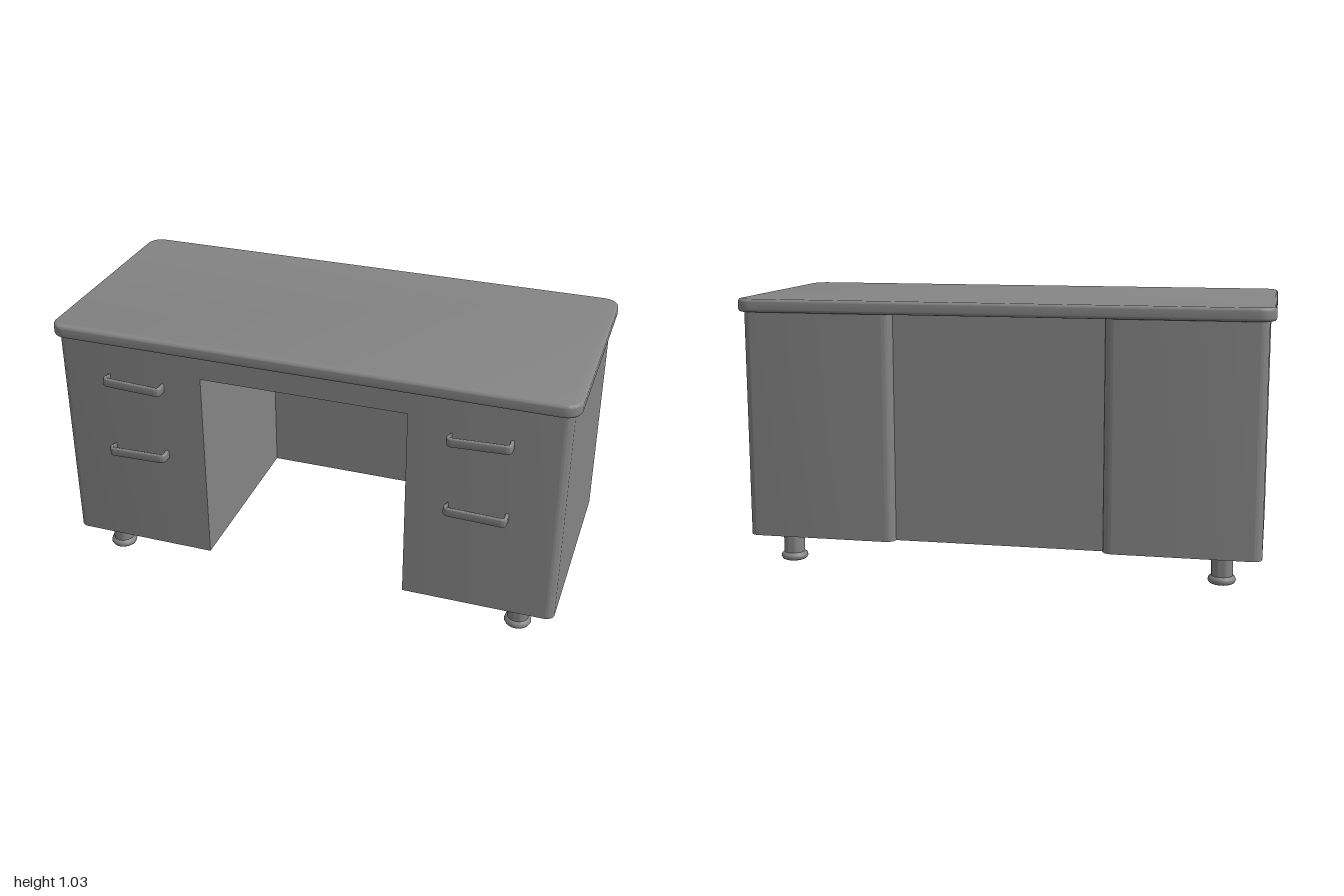
import * as THREE from 'three';
import { toCreasedNormals } from 'three/addons/utils/BufferGeometryUtils.js';

const material = new THREE.MeshStandardMaterial({ color: 0x858585 });

function add(parent, name, geometry, x = 0, y = 0, z = 0) {
  const mesh = new THREE.Mesh(geometry, material);
  mesh.name = name;
  mesh.position.set(x, y, z);
  parent.add(mesh);
  return mesh;
}

// Plan outline; radii in order front-left(-x), front-right, back-right, back-left
function outline(x0, x1, zBack, zFront, [a, b, c, d]) {
  const s = new THREE.Shape();
  const y0 = -zFront, y1 = -zBack;
  const corner = (cx, cy, r, start) => {
    if (r > 0) s.absarc(cx, cy, r, start, start + Math.PI / 2, false);
    else s.lineTo(cx, cy);
  };
  s.moveTo(x0 + a, y0);
  corner(x1 - b, y0 + b, b, -Math.PI / 2);
  corner(x1 - c, y1 - c, c, 0);
  corner(x0 + d, y1 - d, d, Math.PI / 2);
  corner(x0 + a, y0 + a, a, Math.PI);
  return s;
}

// Extrude a plan outline upwards from y = 0, with an optional rounded rim
function slab(shape, height, bevel = 0) {
  const g = new THREE.ExtrudeGeometry(shape, {
    depth: height - 2 * bevel, curveSegments: 10, bevelEnabled: bevel > 0,
    bevelThickness: bevel, bevelSize: bevel, bevelOffset: -bevel, bevelSegments: 5,
  });
  g.translate(0, 0, bevel);
  g.rotateX(-Math.PI / 2);
  return toCreasedNormals(g, 0.6);
}

// Bow handle: flat rounded bar bent into a U, standing out towards +z
function handleGeometry() {
  const w = 0.118, out = 0.045, t = 0.014, r = 0.019, h = 0.036, root = 0.008;
  const ri = r - t;
  const s = new THREE.Shape();
  s.moveTo(-w, root);
  s.absarc(-w + r, -out + r, r, Math.PI, Math.PI * 1.5, false);
  s.absarc(w - r, -out + r, r, -Math.PI / 2, 0, false);
  s.lineTo(w, root);
  s.lineTo(w - t, root);
  s.absarc(w - r, -out + r, ri, 0, -Math.PI / 2, true);
  s.absarc(-w + r, -out + r, ri, Math.PI * 1.5, Math.PI, true);
  s.lineTo(-w + t, root);
  s.closePath();
  const g = slab(s, h, 0.006);
  g.translate(0, -h / 2, 0);
  return g;
}

// Turned leg with a rounded foot
function legGeometry() {
  const points = [[0, 0], [0.038, 0], [0.047, 0.004], [0.052, 0.014], [0.049, 0.024],
    [0.04, 0.031], [0.04, 0.12], [0, 0.12]].map(([x, y]) => new THREE.Vector2(x, y));
  return toCreasedNormals(new THREE.LatheGeometry(points, 28), 0.8);
}

export function createModel() {
  const desk = new THREE.Group();
  desk.name = 'desk';
  const base = 0.113, under = 0.98, back = -0.445, front = 0.423;
  const inner = 0.397, outer = 0.977, apron = 0.887, panelFront = -0.318, panelBack = -0.41;

  // Table top with soft edges
  add(desk, 'tableTop', slab(outline(-1, 1, -0.467, 0.445, [0.06, 0.06, 0.06, 0.06]), 0.05, 0.012), 0, under - 0.002, 0);

  // Centre drawer and recessed back panel
  add(desk, 'centreDrawer', new THREE.BoxGeometry(2 * inner, under - apron, front - panelFront),
    0, (under + apron) / 2, (front + panelFront) / 2);
  add(desk, 'backPanel', new THREE.BoxGeometry(2 * inner, under - base, panelFront - panelBack),
    0, (under + base) / 2, (panelFront + panelBack) / 2);

  const leg = legGeometry();
  const handle = handleGeometry();
  for (const side of [-1, 1]) {
    const unit = new THREE.Group();
    unit.name = side > 0 ? 'leftPedestal' : 'rightPedestal';
    desk.add(unit);

    // Cabinet: rounded outer corners and back inner corner, square front inner corner
    const shape = side > 0
      ? outline(inner, outer, back, front, [0, 0.035, 0.035, 0.035])
      : outline(-outer, -inner, back, front, [0.035, 0, 0.035, 0.035]);
    add(unit, 'cabinet', slab(shape, under - base), 0, base, 0);

    // Slightly tilted drawer handles
    add(unit, 'upperHandle', handle, side * 0.665, 0.828, front).rotation.z = side * 0.04;
    add(unit, 'lowerHandle', handle, side * 0.665, 0.531, front).rotation.z = side * -0.025;

    for (const z of [0.33, -0.348]) add(unit, 'leg', leg, side * 0.832, 0, z);
  }
  return desk;
}
